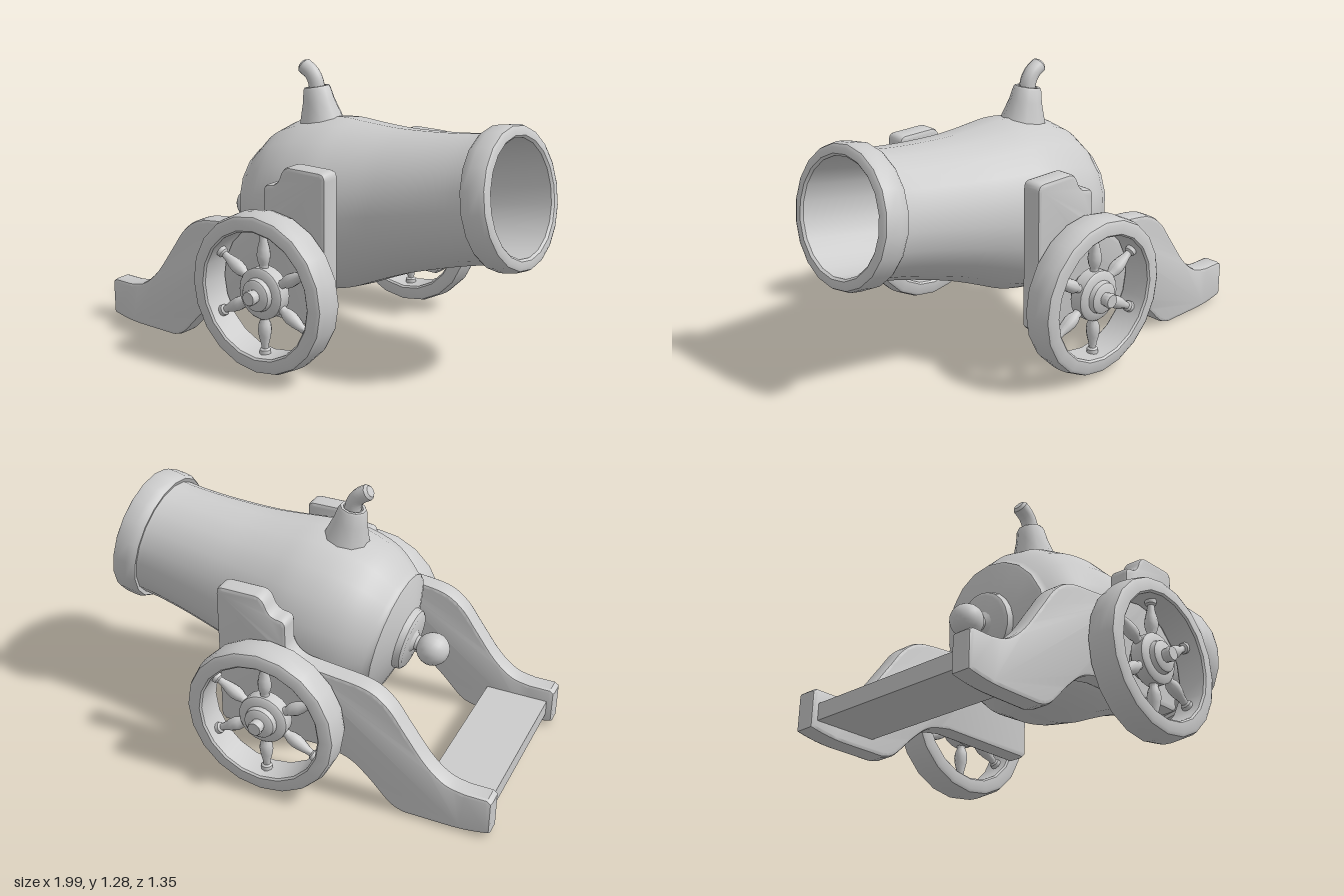
import * as THREE from 'three';
import { toCreasedNormals } from 'three/addons/utils/BufferGeometryUtils.js';

const material = new THREE.MeshStandardMaterial({ color: 0xcccccc });
const v2 = (list) => list.map(([x, y]) => new THREE.Vector2(x, y));

function part(name, geometry, parent, crease = 0.7) {
  const mesh = new THREE.Mesh(toCreasedNormals(geometry, crease), material);
  mesh.name = name;
  parent.add(mesh);
  return mesh;
}

const lathe = (points, sides) => new THREE.LatheGeometry(v2(points), sides);

// Barrel, turned about its own axis (local y runs from breech to muzzle)
function makeBarrel() {
  const barrel = new THREE.Group();
  barrel.name = 'barrel';
  const body = new THREE.SplineCurve(v2([
    [0.29, -0.345], [0.34, -0.275], [0.375, -0.2], [0.394, -0.1], [0.396, 0], [0.386, 0.1],
    [0.362, 0.2], [0.336, 0.31], [0.315, 0.42], [0.292, 0.6], [0.28, 0.75], [0.279, 0.84],
  ])).getPoints(33).map((p) => [p.x, p.y]);
  part('barrelBody', lathe([
    [0, -0.445], [0.125, -0.445], [0.14, -0.435], [0.145, -0.405],
    [0.275, -0.365], [0.288, -0.358], ...body,
    // muzzle band
    [0.298, 0.835], [0.308, 0.85], [0.311, 0.88], [0.31, 0.93], [0.302, 0.95], [0.288, 0.957],
    // bore
    [0.262, 0.957], [0.252, 0.947], [0.25, 0.4], [0.25, -0.2], [0, -0.2],
  ], 20), barrel);
  // breech knob on a short neck
  part('breechNeck', lathe([[0.06, -0.44], [0.035, -0.46], [0.03, -0.53]].reverse(), 12), barrel);
  part('breechKnob', new THREE.SphereGeometry(0.075, 20, 14), barrel).position.y = -0.54;
  // vent cone with a recessed top
  const vent = part('vent', lathe([
    [0.112, 0.34], [0.1, 0.39], [0.075, 0.47], [0.064, 0.525], [0.058, 0.535],
    [0.045, 0.535], [0.042, 0.52], [0, 0.52],
  ], 10), barrel);
  vent.rotation.z = Math.PI / 2;
  vent.position.y = -0.035;
  barrel.position.y = 0.643;
  barrel.rotation.z = -THREE.MathUtils.degToRad(79.3);
  return barrel;
}

// Bent fuse with a closed tip
function makeFuse(root) {
  const points = [[-0.128, 1.14], [-0.14, 1.19], [-0.162, 1.222], [-0.203, 1.248]]
    .map(([x, y]) => new THREE.Vector3(x, y, 0));
  const curve = new THREE.CatmullRomCurve3(points);
  part('fuse', new THREE.TubeGeometry(curve, 10, 0.037, 10), root);
  const tip = part('fuseTip', new THREE.CylinderGeometry(0.026, 0.037, 0.012, 10), root);
  const direction = curve.getTangent(1);
  tip.quaternion.setFromUnitVectors(new THREE.Vector3(0, 1, 0), direction);
  tip.position.copy(points[3]).addScaledVector(direction, 0.006);
}

// Side cheek of the carriage: curved tail, stepped top, flat bottom
function cheekGeometry() {
  const s = new THREE.Shape();
  s.moveTo(-1, 0.025);
  s.quadraticCurveTo(-0.9, 0, -0.8, 0.001);
  s.lineTo(-0.61, 0.001);
  s.splineThru(v2([[-0.54, 0.03], [-0.43, 0.14], [-0.34, 0.207], [-0.22, 0.235]]));
  s.lineTo(0.265, 0.235);
  s.lineTo(0.285, 0.255);
  s.lineTo(0.285, 0.885);
  s.quadraticCurveTo(0.285, 0.922, 0.25, 0.922);
  s.lineTo(0.1, 0.922);
  s.quadraticCurveTo(0.06, 0.92, 0.045, 0.875);
  s.quadraticCurveTo(0.03, 0.832, -0.01, 0.83);
  s.quadraticCurveTo(-0.047, 0.828, -0.047, 0.795);
  s.lineTo(-0.047, 0.71);
  s.quadraticCurveTo(-0.06, 0.65, -0.13, 0.635);
  s.lineTo(-0.25, 0.622);
  s.splineThru(v2([[-0.42, 0.598], [-0.52, 0.535], [-0.6, 0.43], [-0.7, 0.297], [-0.79, 0.222], [-0.88, 0.2]]));
  s.lineTo(-0.98, 0.2);
  s.lineTo(-1, 0.185);
  s.closePath();
  const bevel = 0.016;
  const geometry = new THREE.ExtrudeGeometry(s, {
    depth: 0.096 - 2 * bevel, curveSegments: 6, bevelEnabled: true,
    bevelThickness: bevel, bevelSize: bevel, bevelOffset: -bevel, bevelSegments: 2,
  });
  return geometry.translate(0, 0, -0.048 + bevel);
}

// Wheel with its axle along local y, outside towards +y
function makeWheel() {
  const wheel = new THREE.Group();
  wheel.name = 'wheel';
  part('rim', lathe([
    [0.29, -0.072], [0.335, -0.072], [0.349, -0.064], [0.357, -0.04], [0.36, 0],
    [0.357, 0.04], [0.349, 0.064], [0.335, 0.072], [0.29, 0.072], [0.282, 0.064],
    [0.282, -0.064], [0.29, -0.072],
  ], 20), wheel);
  part('hub', lathe([
    [0, -0.07], [0.07, -0.07], [0.075, -0.04], [0.108, -0.035], [0.115, -0.028],
    [0.115, 0.028], [0.108, 0.035], [0.075, 0.04], [0.07, 0.062], [0.062, 0.068], [0, 0.068],
  ], 20), wheel);
  part('axle', lathe([
    [0, -0.13], [0.03, -0.13], [0.03, 0.07], [0.034, 0.1], [0.03, 0.108], [0, 0.108],
  ], 12), wheel);
  // turned spokes
  const spoke = lathe([
    [0.02, 0.1], [0.02, 0.125], [0.028, 0.145], [0.031, 0.17], [0.027, 0.2], [0.018, 0.235],
    [0.016, 0.255], [0.025, 0.262], [0.026, 0.275], [0.026, 0.295],
  ], 10);
  for (let i = 0; i < 6; i++) {
    const arm = new THREE.Group();
    arm.rotation.y = (i * Math.PI) / 3;
    part('spoke', spoke, arm).rotation.x = Math.PI / 2;
    wheel.add(arm);
  }
  wheel.rotation.x = Math.PI / 2;
  return wheel;
}

export function createModel() {
  const root = new THREE.Group();
  root.name = 'cannon';
  root.add(makeBarrel());
  makeFuse(root);

  // Board joining the tails
  part('crossBoard', new THREE.BoxGeometry(0.295, 0.075, 0.82), root).position.set(-0.822, 0.098, 0);

  const cheek = cheekGeometry();
  for (const side of [1, -1]) {
    part('carriageCheek', cheek, root, 0.6).position.z = side * 0.445;
    const mount = new THREE.Group();
    mount.name = 'wheelMount';
    mount.add(makeWheel());
    mount.position.set(0.018, 0.375, side * 0.568);
    if (side < 0) mount.rotation.y = Math.PI;
    root.add(mount);
  }
  return root;
}
